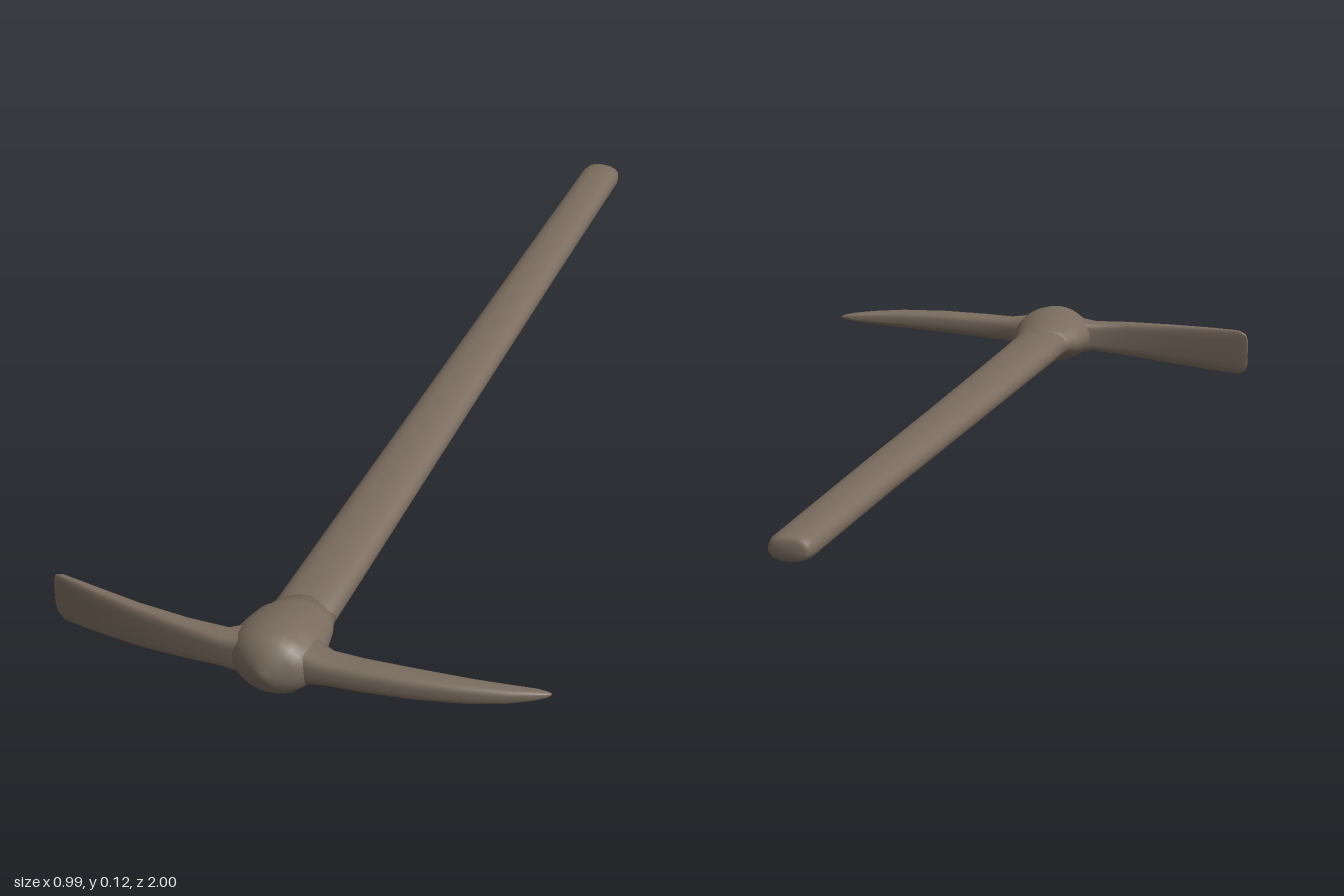
import * as THREE from 'three';

const SIDES = 28;

// Loft rounded cross-sections along an axis. Each section is
// [position, uMin, uMax, vMin, vMax]; roundness 1 is an ellipse, lower is boxier.
function loft(sections, axis, roundness) {
  const positions = [], index = [];
  const put = (w, u, v) => positions.push(...(axis === 'z' ? [u, v, w] : [w, u, v]));
  const shape = (t) => Math.sign(t) * Math.pow(Math.abs(t), roundness);
  for (const [w, u0, u1, v0, v1] of sections) {
    for (let j = 0; j < SIDES; j++) {
      const a = (j / SIDES) * Math.PI * 2;
      put(w, (u0 + u1) / 2 + shape(Math.cos(a)) * (u1 - u0) / 2,
        (v0 + v1) / 2 + shape(Math.sin(a)) * (v1 - v0) / 2);
    }
  }
  const last = (sections.length - 1) * SIDES;
  for (const [w, u0, u1, v0, v1] of [sections[0], sections[sections.length - 1]]) {
    put(w, (u0 + u1) / 2, (v0 + v1) / 2);
  }
  const startCentre = last + SIDES, endCentre = startCentre + 1;
  for (let j = 0; j < SIDES; j++) {
    const k = (j + 1) % SIDES;
    for (let r = 0; r < last; r += SIDES) {
      index.push(r + j, r + k, r + SIDES + j, r + k, r + SIDES + k, r + SIDES + j);
    }
    index.push(startCentre, k, j, endCentre, last + j, last + k);
  }
  const geometry = new THREE.BufferGeometry();
  geometry.setAttribute('position', new THREE.Float32BufferAttribute(positions, 3));
  geometry.setIndex(index);
  geometry.computeVertexNormals();
  return geometry;
}

export function createModel() {
  const group = new THREE.Group();
  group.name = 'pickaxe';
  const brown = new THREE.MeshStandardMaterial({ color: 0x7a6c5f });
  brown.name = 'weathered brown';

  const add = (name, geometry) => {
    const mesh = new THREE.Mesh(geometry, brown);
    mesh.name = name;
    group.add(mesh);
  };

  // Long oval handle, thickening towards the head: z, x range, y range
  add('handle', loft([
    [-1, -0.05, 0.01, 0.082, 0.113],
    [-0.995, -0.058, 0.018, 0.075, 0.12],
    [-0.975, -0.063, 0.023, 0.071, 0.123],
    [-0.5, -0.068, 0.026, 0.064, 0.117],
    [0, -0.075, 0.03, 0.053, 0.108],
    [0.4, -0.08, 0.034, 0.044, 0.102],
    [0.7, -0.083, 0.037, 0.036, 0.099],
    [0.9, -0.085, 0.039, 0.032, 0.098],
  ], 'z', 0.85));

  // Swollen eye of the head around the handle, domed at the front
  add('eye', loft([
    [0.785, -0.083, 0.037, 0.034, 0.099],
    [0.815, -0.091, 0.043, 0.03, 0.103],
    [0.83, -0.103, 0.049, 0.024, 0.107],
    [0.865, -0.11, 0.055, 0.013, 0.116],
    [0.9, -0.115, 0.065, 0.006, 0.123],
    [0.94, -0.11, 0.065, 0.001, 0.126],
    [0.965, -0.095, 0.052, 0.004, 0.123],
    [0.98, -0.077, 0.034, 0.016, 0.112],
    [0.993, -0.05, 0.008, 0.035, 0.092],
    [1, -0.03, -0.012, 0.055, 0.073],
  ], 'z', 1));

  // Flat flaring blade on one side: x, y range, z range
  add('adzeBlade', loft([
    [-0.493, 0.028, 0.085, 0.884, 0.888],
    [-0.487, 0.012, 0.1, 0.884, 0.892],
    [-0.47, 0.004, 0.107, 0.886, 0.9],
    [-0.4, 0.007, 0.106, 0.896, 0.919],
    [-0.3, 0.013, 0.103, 0.91, 0.94],
    [-0.2, 0.022, 0.1, 0.916, 0.954],
    [-0.12, 0.029, 0.096, 0.911, 0.963],
    [-0.08, 0.024, 0.103, 0.888, 0.966],
    [-0.02, 0.015, 0.11, 0.88, 0.968],
  ], 'x', 0.5));

  // Curved tapering spike on the other side: x, y range, z range
  add('pickSpike', loft([
    [-0.02, 0.015, 0.11, 0.88, 0.968],
    [0.04, 0.028, 0.103, 0.885, 0.968],
    [0.085, 0.039, 0.095, 0.905, 0.967],
    [0.15, 0.043, 0.097, 0.91, 0.967],
    [0.25, 0.05, 0.099, 0.909, 0.962],
    [0.35, 0.057, 0.098, 0.904, 0.947],
    [0.42, 0.064, 0.094, 0.894, 0.928],
    [0.465, 0.071, 0.09, 0.886, 0.909],
    [0.485, 0.076, 0.086, 0.885, 0.897],
    [0.492, 0.079, 0.083, 0.886, 0.89],
  ], 'x', 0.7));

  return group;
}
